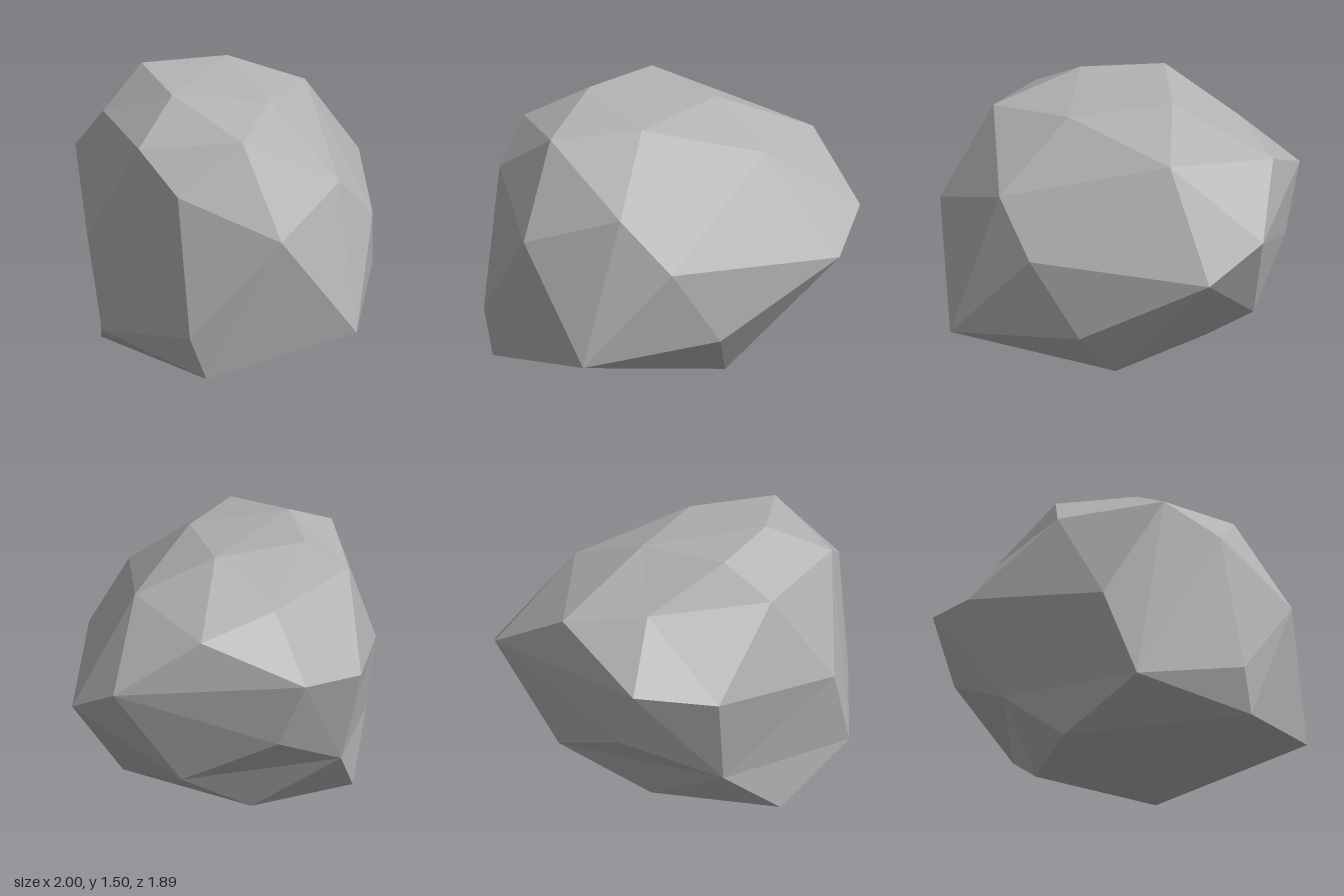
import * as THREE from 'three';
import { ConvexGeometry } from 'three/addons/geometries/ConvexGeometry.js';

// Corners of the boulder from the crown down to the base: x, y, z and, for dented
// corners, the outward lift that lets the facets meet there
const corners = [
  // crown
  [-0.36, 1.5, 0.35], [0.07, 1.49, 0.48], [-0.23, 1.46, -0.13], [0.31, 1.41, 0.01], [0.59, 1.37, 0.41],
  // shoulders
  [0.2, 1.31, 0.81], [-0.36, 1.29, 0.61, 0.1], [-0.66, 1.29, 0, 0.18], [-0.07, 1.27, -0.53],
  [-0.68, 1.21, -0.46], [0.5, 1.12, 0.78], [0.75, 1.06, -0.12],
  // middle
  [-1, 0.98, 0], [-0.47, 0.91, -0.88], [-0.83, 0.89, 0.43], [0.9, 0.89, 0.39],
  [0.68, 0.78, -0.4], [-0.13, 0.73, 0.9], [-0.14, 0.73, -0.95], [-0.88, 0.62, -0.1],
  // lower sides
  [0.46, 0.37, -0.57], [-0.55, 0.37, -0.51], [0.63, 0.35, 0.8], [-0.64, 0.33, 0.41, 0.2],
  [1, 0.29, -0.04], [0.05, 0.24, 0.94],
  // base
  [0.67, 0.11, 0.72], [0.21, 0.11, -0.45], [-0.45, 0.07, -0.03], [-0.33, 0, 0.65],
];

// Wrap facets around the lifted corners, then sink each corner to its real place
function facetedRock() {
  const centre = new THREE.Vector3(0, 0.75, 0);
  const real = corners.map(([x, y, z]) => new THREE.Vector3(x, y, z));
  const lifted = real.map((p, i) =>
    p.clone().addScaledVector(p.clone().sub(centre).normalize(), corners[i][3] ?? 0));

  const geometry = new ConvexGeometry(lifted);
  const position = geometry.attributes.position;
  const v = new THREE.Vector3();
  for (let i = 0; i < position.count; i++) {
    v.fromBufferAttribute(position, i);
    const k = lifted.findIndex((p) => p.distanceTo(v) < 1e-4);
    position.setXYZ(i, ...real[k].toArray());
  }
  geometry.computeVertexNormals();
  return geometry;
}

export function createModel() {
  const stone = new THREE.MeshStandardMaterial({ color: 0xb2b2b2 });
  stone.name = 'grey stone';

  const boulder = new THREE.Mesh(facetedRock(), stone);
  boulder.name = 'boulder';

  const model = new THREE.Group();
  model.name = 'rock';
  model.add(boulder);
  return model;
}
